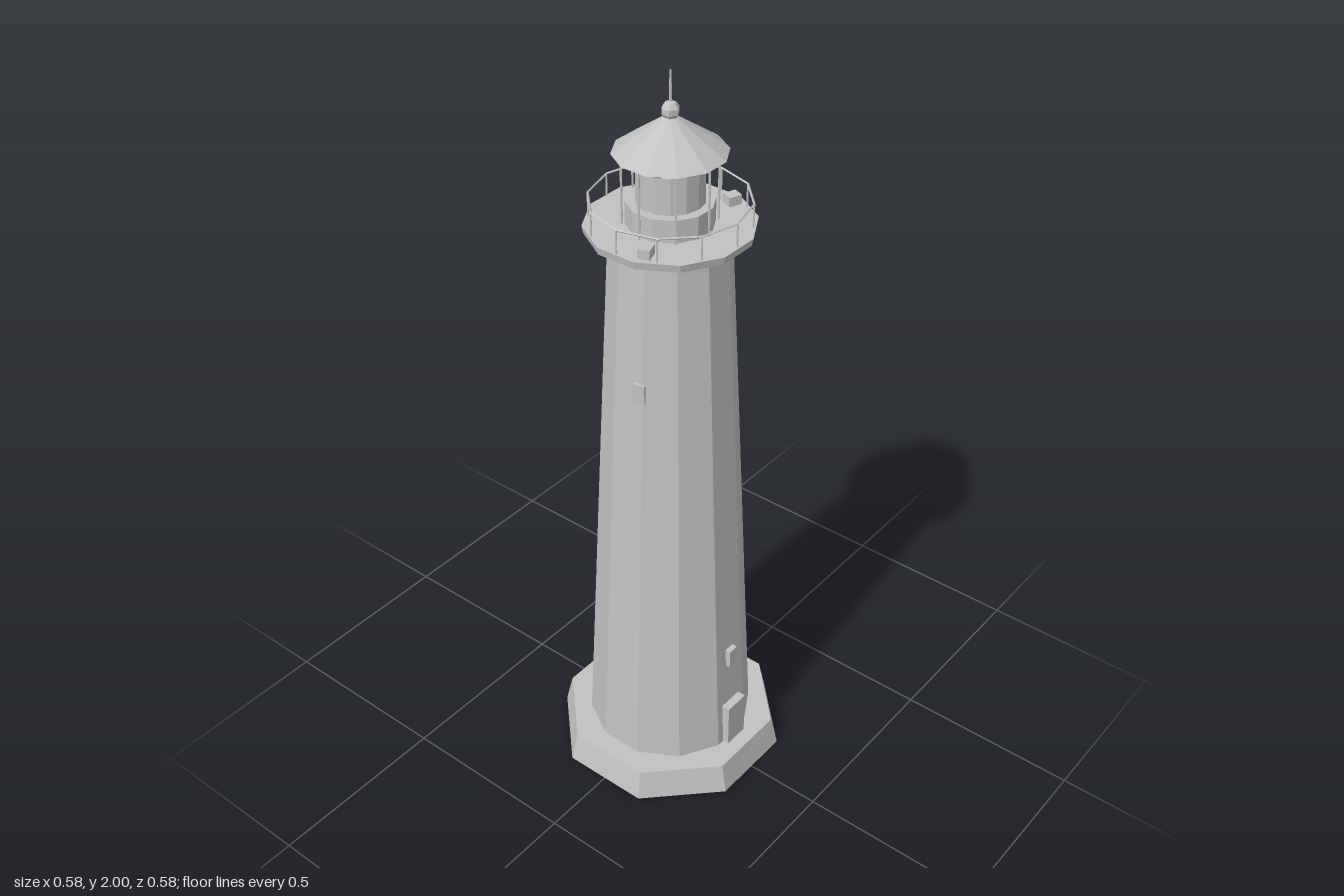
import * as THREE from 'three';

const stone = new THREE.MeshStandardMaterial({ color: 0xc2c2c2 });
stone.name = 'pale grey';
stone.flatShading = true;
const openStone = stone.clone();
openStone.side = THREE.DoubleSide;

export function createModel() {
  const model = new THREE.Group();
  model.name = 'lighthouse';

  const add = (name, geometry, x = 0, y = 0, z = 0, material = stone) => {
    const mesh = new THREE.Mesh(geometry, material);
    mesh.name = name;
    mesh.position.set(x, y, z);
    model.add(mesh);
    return mesh;
  };

  // Prism or frustum given by the apothems of its ends, one flat facing front
  const prism = (name, sides, top, bottom, y0, y1) => {
    const k = 1 / Math.cos(Math.PI / sides);
    const g = new THREE.CylinderGeometry(top * k, bottom * k, y1 - y0, sides);
    g.rotateY(Math.PI / sides);
    return add(name, g, 0, (y0 + y1) / 2, 0);
  };

  // Box whose outer face looks away from the axis at the given angle
  const radialBox = (name, deg, outer, y0, y1, width, depth) => {
    const a = THREE.MathUtils.degToRad(deg);
    const r = outer - depth / 2;
    const box = add(name, new THREE.BoxGeometry(width, y1 - y0, depth),
      Math.sin(a) * r, (y0 + y1) / 2, Math.cos(a) * r);
    box.rotation.y = a;
  };

  // Ring of upright posts
  const posts = (name, count, radius, y0, y1, thickness) => {
    for (let i = 0; i < count; i++) {
      const a = (i / count) * Math.PI * 2;
      add(name, new THREE.CylinderGeometry(thickness, thickness, y1 - y0, 5),
        Math.sin(a) * radius, (y0 + y1) / 2, Math.cos(a) * radius);
    }
  };

  // Footing and tapering tower
  prism('base', 8, 0.273, 0.291, 0, 0.082);
  prism('tower', 12, 0.142, 0.217, 0.082, 1.61);

  // Door and windows climbing around the tower
  radialBox('door', 0, 0.234, 0.082, 0.212, 0.072, 0.04);
  radialBox('frontWindow', 0, 0.217, 0.345, 0.4, 0.03, 0.03);
  radialBox('leftWindow', 96, 0.2, 0.635, 0.69, 0.034, 0.03);
  radialBox('backWindow', 192, 0.186, 0.925, 0.98, 0.032, 0.03);
  radialBox('rightWindow', -78, 0.17, 1.215, 1.268, 0.032, 0.03);

  // Gallery deck with railing
  prism('galleryDeck', 12, 0.2, 0.196, 1.606, 1.626);
  posts('railingPost', 12, 0.194, 1.626, 1.686, 0.0025);
  const rail = new THREE.TorusGeometry(0.194, 0.003, 4, 12).rotateX(Math.PI / 2);
  add('handrail', rail, 0, 1.686, 0);
  for (const side of [-1, 1]) {
    radialBox('deckBox', side * 70, 0.188, 1.626, 1.65, 0.03, 0.035);
  }

  // Lantern room: curb, lens screen open at the back, roof posts
  prism('lanternCurb', 12, 0.103, 0.103, 1.626, 1.684);
  const arc = THREE.MathUtils.degToRad(127);
  add('lensScreen', new THREE.CylinderGeometry(0.083, 0.083, 0.093, 10, 1, true, -arc, arc * 2),
    0, 1.73, 0, openStone);
  posts('roofPost', 8, 0.113, 1.626, 1.81, 0.003);

  // Roof, ball finial and spike
  prism('roof', 12, 0.012, 0.132, 1.805, 1.892);
  const ball = new THREE.SphereGeometry(0.023, 6, 5).rotateY(Math.PI / 2);
  add('finialBall', ball, 0, 1.905, 0);
  add('spike', new THREE.CylinderGeometry(0.0025, 0.004, 0.085, 6), 0, 1.9575, 0);

  return model;
}
